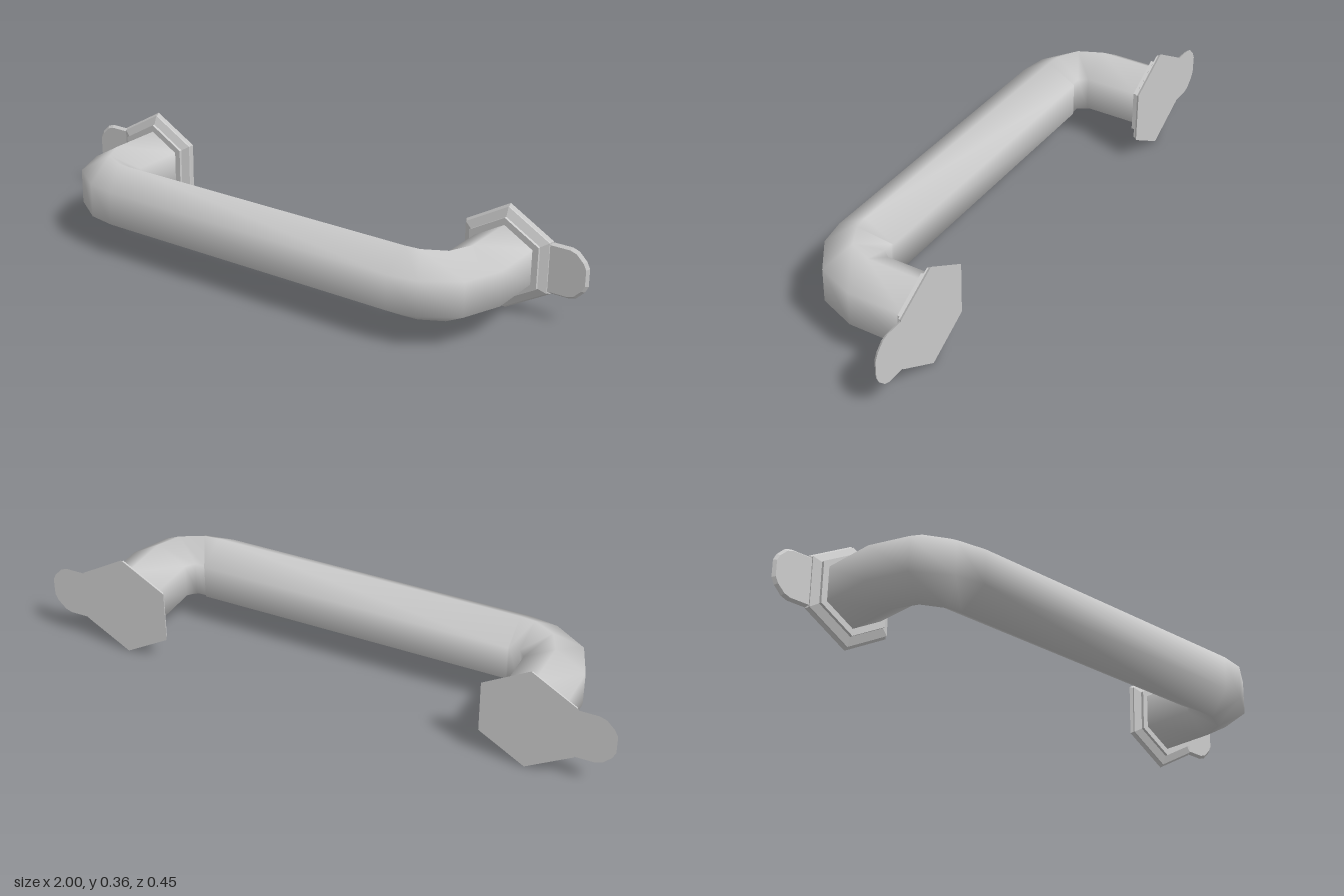
import * as THREE from 'three';

const CY = 0.183, LEG_X = 0.717, BACK = -0.227, R = 0.118;
const grey = new THREE.MeshStandardMaterial({ color: 0xcccccc });
const flatGrey = new THREE.MeshStandardMaterial({ color: 0xcccccc, flatShading: true });

// Six-sided bar swept through both bends, shaded smooth
function barGeometry() {
  // centre x, centre z, direction of the outer side in degrees
  const half = [
    [LEG_X, -0.2, 0], [LEG_X, 0, 0], [0.68, 0.08, 30], [0.604, 0.12, 62], [0.553, 0.125, 90],
  ];
  const rings = [...half, ...half.map(([x, z, t]) => [-x, z, 180 - t]).reverse()];
  const pos = [], index = [];
  rings.forEach(([x, z, deg], i) => {
    const t = THREE.MathUtils.degToRad(deg);
    for (let j = 0; j < 6; j++) {
      const a = (j * Math.PI) / 3, out = R * Math.sin(a);
      pos.push(x + out * Math.cos(t), CY + R * Math.cos(a), z + out * Math.sin(t));
      if (i === rings.length - 1) continue;
      const p = i * 6 + j, q = i * 6 + ((j + 1) % 6);
      index.push(p, p + 6, q, q, p + 6, q + 6);
    }
  });
  const g = new THREE.BufferGeometry();
  g.setAttribute('position', new THREE.Float32BufferAttribute(pos, 3));
  g.setIndex(index);
  g.computeVertexNormals();
  return g;
}

// Stepped hexagonal mounting plate, lying in the xy plane with its back at z = 0
function plateGeometry() {
  const profile = [
    [0, 0], [0.18, 0], [0.172, 0.009], [0.172, 0.014], [0.142, 0.026], [0.142, 0.036], [0, 0.036],
  ].map(([r, h]) => new THREE.Vector2(r, h));
  return new THREE.LatheGeometry(profile, 6).rotateX(Math.PI / 2);
}

// Thin rounded tab on the outer side of a plate, with sloping edges
function tabGeometry() {
  const x0 = 0.145;
  const upper = [[x0, 0.087], [0.222, 0.087], [0.245, 0.079], [0.272, 0.052], [0.283, 0.03]];
  const outline = [...upper, ...upper.map(([x, y]) => [x, -y]).reverse()].reverse();
  const shape = new THREE.Shape(outline.map(([x, y]) => new THREE.Vector2(x, y)));
  const g = new THREE.ExtrudeGeometry(shape, { depth: 0.01, bevelEnabled: false });
  const p = g.attributes.position;
  for (let i = 0; i < p.count; i++) {
    if (p.getZ(i) > 0.005) p.setXY(i, x0 + (p.getX(i) - x0) * 0.94, p.getY(i) * 0.91);
  }
  g.computeVertexNormals();
  return g;
}

export function createModel() {
  const model = new THREE.Group();
  model.name = 'pullHandle';

  const bar = new THREE.Mesh(barGeometry(), grey);
  bar.name = 'bar';
  model.add(bar);

  // One mount behind each leg, turned half round on the right
  const plate = plateGeometry(), tab = tabGeometry();
  for (const side of [1, -1]) {
    const mount = new THREE.Group();
    mount.name = side > 0 ? 'leftMount' : 'rightMount';
    for (const [name, geometry] of [['plate', plate], ['tab', tab]]) {
      const mesh = new THREE.Mesh(geometry, flatGrey);
      mesh.name = name;
      mount.add(mesh);
    }
    mount.position.set(side * LEG_X, CY, BACK);
    if (side < 0) mount.rotation.z = Math.PI;
    model.add(mount);
  }
  return model;
}
